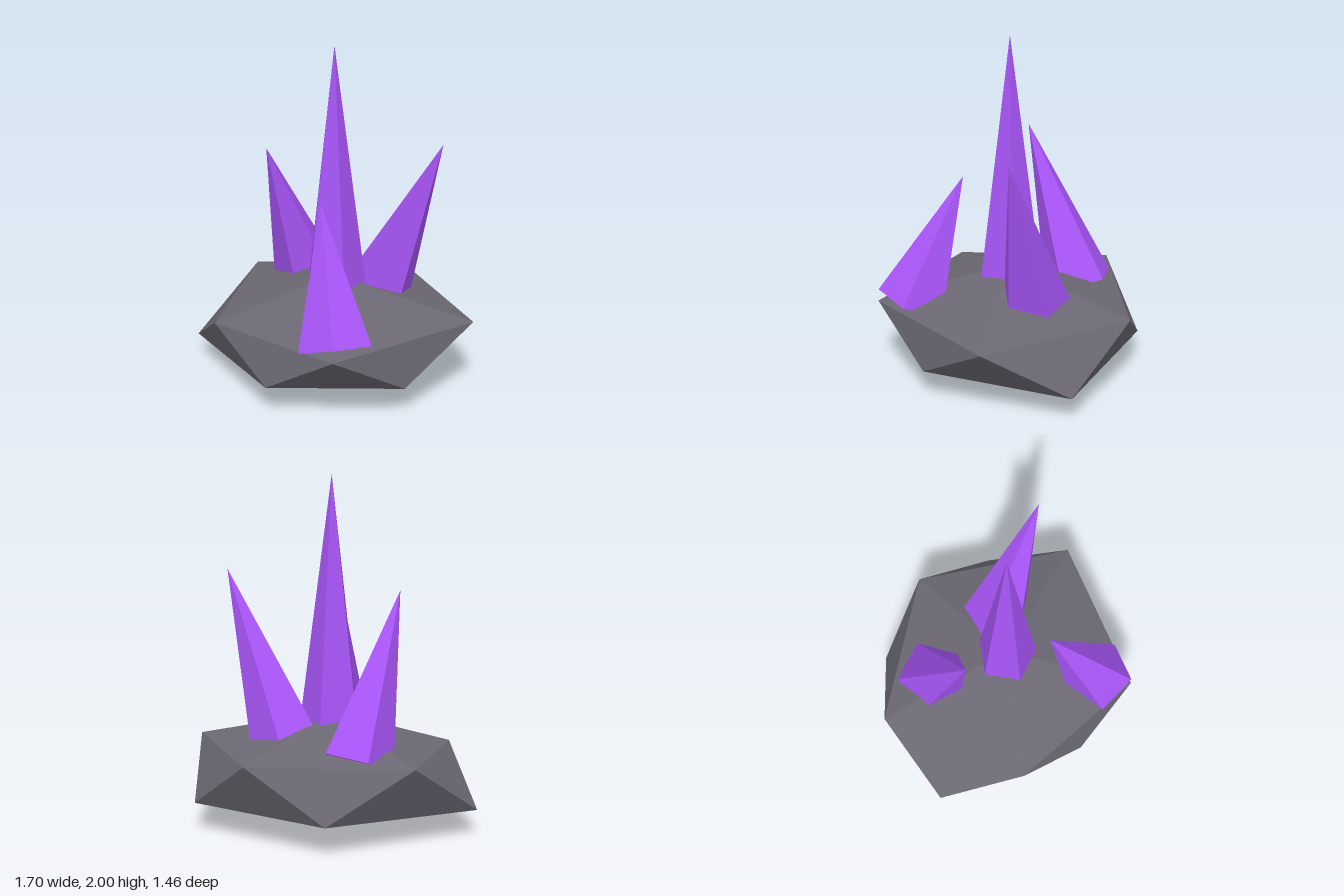
import * as THREE from 'three';

const rockMaterial = new THREE.MeshStandardMaterial({ color: 0x6b6873, flatShading: true });
const crystalMaterial = new THREE.MeshStandardMaterial({ color: 0xa855f7, flatShading: true });

// Irregular squashed icosahedron: two poles and two staggered rings of five
function makeRock() {
  const top = [0.02, 0.645, 0];
  const bottom = [0.02, 0, 0];
  const upper = [[0.85, 0.46, 0], [0.25, 0.445, 0.73], [-0.56, 0.435, 0.42], [-0.64, 0.455, -0.48], [0.25, 0.45, -0.73]];
  const lower = [[0.56, 0.18, 0.39], [-0.18, 0.18, 0.62], [-0.85, 0.14, 0], [-0.22, 0.16, -0.73], [0.67, 0.155, -0.47]];
  const positions = [];
  const face = (a, b, c) => positions.push(...a, ...b, ...c);
  for (let i = 0; i < 5; i++) {
    const j = (i + 1) % 5;
    face(top, upper[j], upper[i]);
    face(upper[i], upper[j], lower[i]);
    face(lower[i], upper[j], lower[j]);
    face(bottom, lower[i], lower[j]);
  }
  const geometry = new THREE.BufferGeometry();
  geometry.setAttribute('position', new THREE.Float32BufferAttribute(positions, 3));
  geometry.computeVertexNormals();
  const rock = new THREE.Mesh(geometry, rockMaterial);
  rock.name = 'rockBase';
  return rock;
}

// Five-sided spike from base centre to tip, one base corner turned towards a point
function makeCrystal(name, tip, base, radius, corner) {
  const foot = new THREE.Vector3(...base);
  const axis = new THREE.Vector3(...tip).sub(foot);
  const height = axis.length();
  axis.normalize();
  const forward = new THREE.Vector3(...corner).sub(foot);
  forward.addScaledVector(axis, -forward.dot(axis)).normalize();
  const side = new THREE.Vector3().crossVectors(axis, forward);

  const geometry = new THREE.ConeGeometry(radius, height, 5).translate(0, height / 2, 0);
  geometry.applyMatrix4(new THREE.Matrix4().makeBasis(side, axis, forward).setPosition(foot));
  const crystal = new THREE.Mesh(geometry, crystalMaterial);
  crystal.name = name;
  return crystal;
}

export function createModel() {
  const model = new THREE.Group();
  model.name = 'crystalCluster';
  model.add(
    makeRock(),
    makeCrystal('centreCrystal', [0.02, 2, 0], [0.02, 0.5, 0], 0.194, [0.02, 0.5, -1]),
    makeCrystal('leftCrystal', [0.62, 1.455, -0.11], [0.21, 0.435, -0.19], 0.215, [0.06, 0.6, -0.19]),
    makeCrystal('rightCrystal', [-0.4, 1.36, -0.03], [-0.263, 0.439, -0.365], 0.211, [-0.39, 0.475, -0.53]),
    makeCrystal('frontCrystal', [0.03, 1.165, 0.27], [0.203, 0.436, 0.536], 0.213, [0.25, 0.51, 0.73]),
  );
  return model;
}
